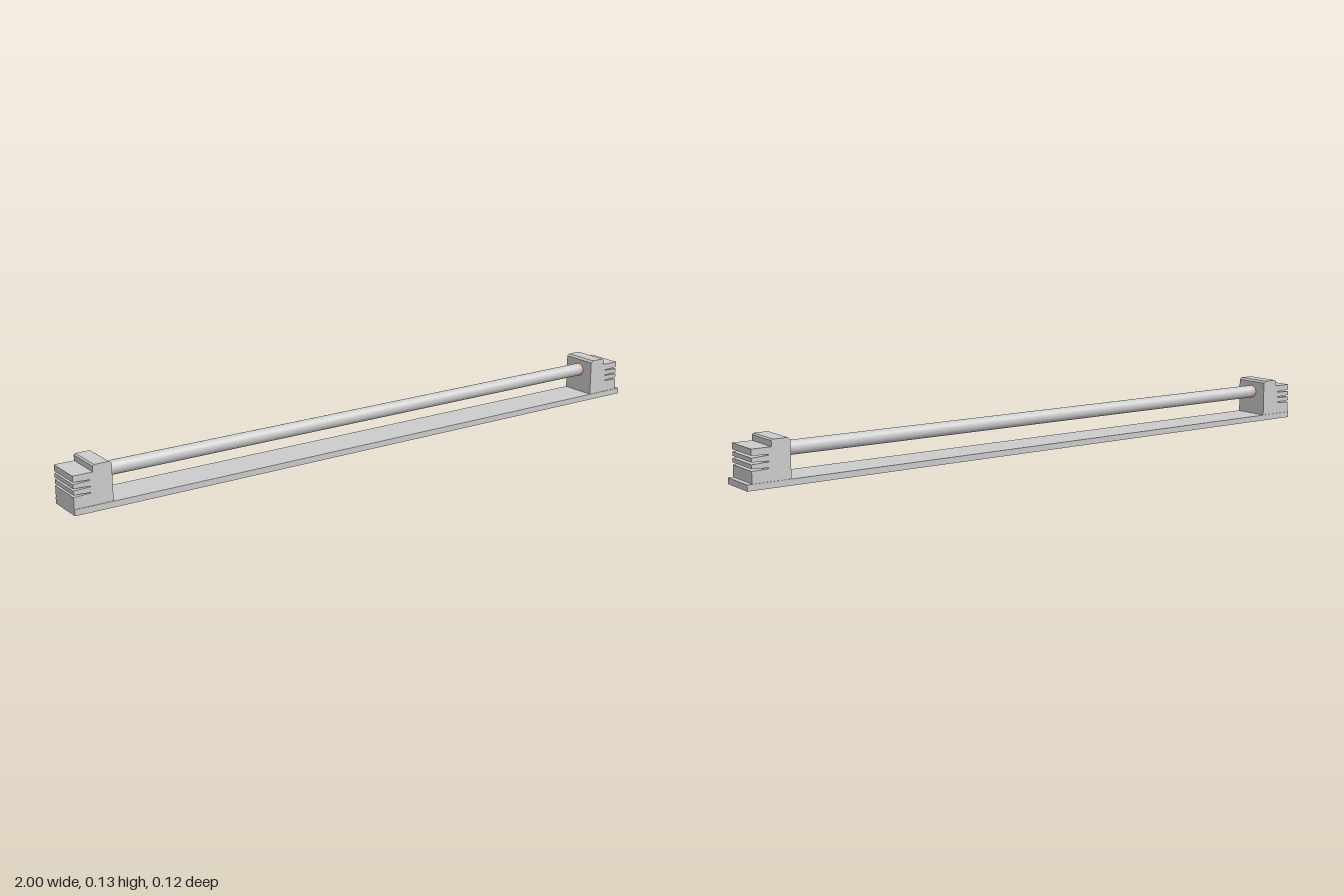
import * as THREE from 'three';

const grey = new THREE.MeshStandardMaterial({ color: 0xcccccc });
const copper = new THREE.MeshStandardMaterial({ color: 0xd8b4aa });

function add(parent, name, geometry, material, x, y, z) {
  const mesh = new THREE.Mesh(geometry, material);
  mesh.name = name;
  mesh.position.set(x, y, z);
  parent.add(mesh);
  return mesh;
}

// Side profile of an end block: x = 0 is the inner face, +x points outward
function blockGeometry() {
  const width = 0.116, outer = 0.115, step = 0.056;
  const s = new THREE.Shape();
  s.moveTo(0, 0.018);
  s.lineTo(outer, 0.018);
  // Tapered cooling slots cut into the outer end
  for (const y of [0.055, 0.073, 0.091]) {
    s.lineTo(outer, y - 0.003);
    s.lineTo(outer - 0.05, y - 0.001);
    s.lineTo(outer - 0.05, y + 0.001);
    s.lineTo(outer, y + 0.003);
  }
  s.lineTo(outer, 0.112);
  s.lineTo(step, 0.112);
  s.lineTo(step, 0.128);
  s.lineTo(step - 0.005, 0.132);
  s.lineTo(0.008, 0.132);
  s.lineTo(0, 0.126);
  s.closePath();
  const g = new THREE.ExtrudeGeometry(s, { depth: width, bevelEnabled: false });
  return g.translate(0, 0, -width / 2);
}

export function createModel() {
  const model = new THREE.Group();
  model.name = 'tubeLampFixture';

  // Long base plate
  add(model, 'basePlate', new THREE.BoxGeometry(2, 0.018, 0.12), grey, 0, 0.009, 0);

  // End blocks, the right one turned to face outward
  const block = blockGeometry();
  add(model, 'leftEndBlock', block, grey, 0.87, 0, 0);
  add(model, 'rightEndBlock', block, grey, -0.885, 0, 0).rotation.y = Math.PI;

  // Tube between the blocks, with a short collar at each end
  const rod = (length) => new THREE.CylinderGeometry(0.0205, 0.0205, length, 32).rotateZ(Math.PI / 2);
  add(model, 'tube', rod(1.725), grey, -0.0075, 0.092, 0);
  for (const [name, x] of [['leftCollar', 0.865], ['rightCollar', -0.88]]) {
    add(model, name, rod(0.02), copper, x, 0.092, 0);
  }
  return model;
}
